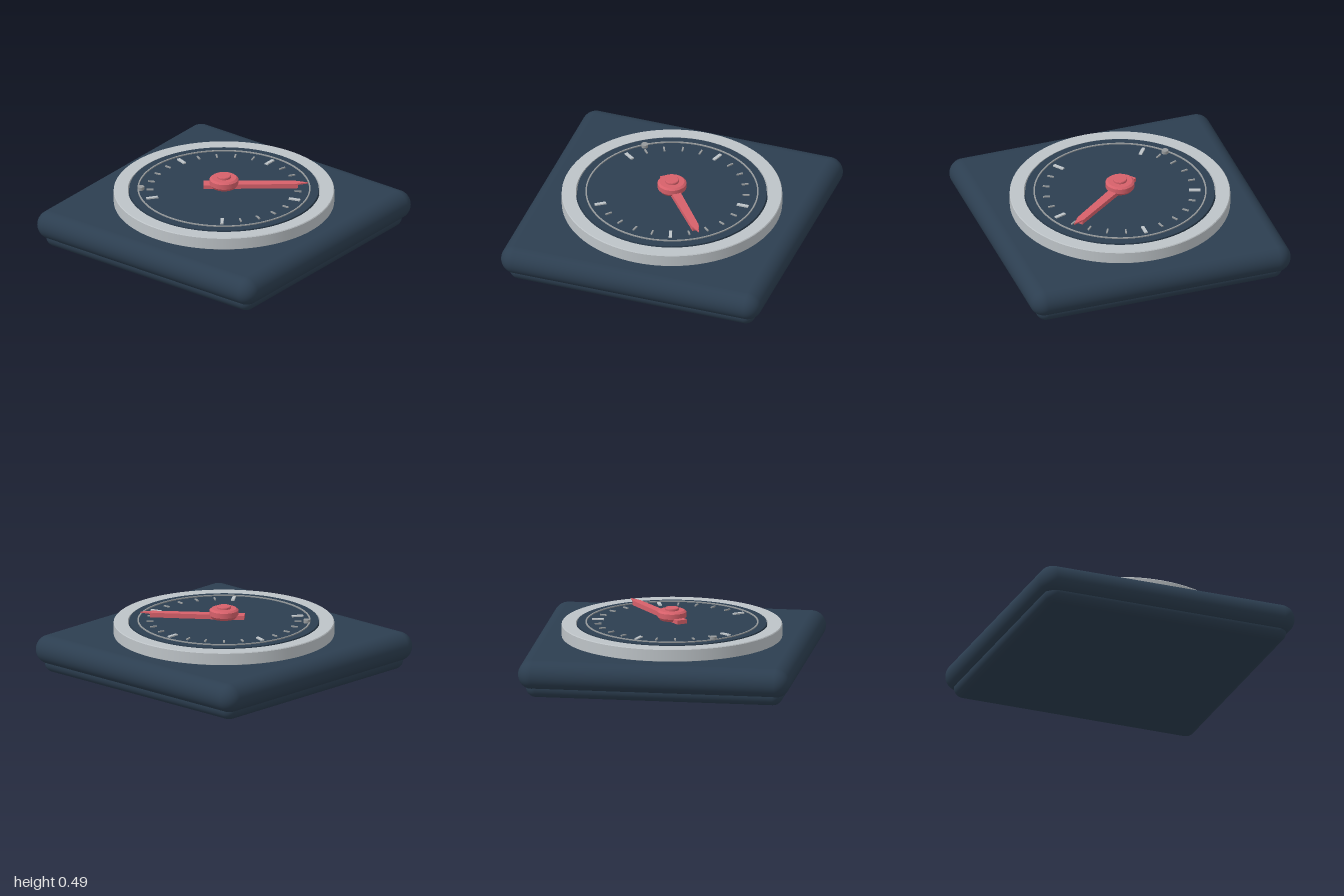
import * as THREE from 'three';
import { RoundedBoxGeometry } from 'three/addons/geometries/RoundedBoxGeometry.js';

const mat = (name, color) => {
  const m = new THREE.MeshStandardMaterial({ color });
  m.name = name;
  return m;
};

export function createModel() {
  const navy = mat('navy', 0x2c3e50);
  const silver = mat('silver', 0xbdc3c7);
  const grey = mat('grey', 0x95999b);
  const red = mat('red', 0xd6606a);

  const model = new THREE.Group();
  model.name = 'dialGauge';
  const add = (name, geometry, material, x = 0, y = 0, z = 0, parent = model) => {
    const mesh = new THREE.Mesh(geometry, material);
    mesh.name = name;
    mesh.position.set(x, y, z);
    parent.add(mesh);
    return mesh;
  };
  // Ring or disc with crisp edges: each profile segment is its own lathe band
  const turned = (name, points, material, parent = model) => {
    const group = new THREE.Group();
    group.name = name;
    for (let i = 0; i < points.length - 1; i++) {
      const pair = [points[i], points[i + 1]].map(([r, y]) => new THREE.Vector2(r, y));
      add(name + 'Face', new THREE.LatheGeometry(pair, 96), material, 0, 0, 0, group);
    }
    parent.add(group);
  };
  // Flat outline in x/z extruded upwards
  const plate = (points, height) => {
    const shape = new THREE.Shape(points.map(([x, z]) => new THREE.Vector2(x, -z)));
    return new THREE.ExtrudeGeometry(shape, { depth: height, bevelEnabled: false }).rotateX(-Math.PI / 2);
  };

  // Housing and recessed base
  add('housing', new RoundedBoxGeometry(2, 0.215, 2, 8, 0.107), navy, 0, 0.171, 0);
  add('base', new RoundedBoxGeometry(1.89, 0.15, 1.89, 8, 0.074), navy, 0, 0.075, 0);

  // Bezel and dial face
  turned('bezel', [[0.7, 0.27], [0.8, 0.27], [0.803, 0.28], [0.803, 0.365], [0.798, 0.371], [0.7, 0.371], [0.7, 0.27]], silver);
  add('dialFace', new THREE.CylinderGeometry(0.69, 0.69, 0.1, 96), navy, 0, 0.326, 0);
  turned('scaleRing', [[0.62, 0.374], [0.63, 0.374], [0.63, 0.384], [0.62, 0.384], [0.62, 0.374]], grey);

  // Scale: 21 ticks, every fifth one long
  for (let i = -10; i <= 10; i++) {
    const a = THREE.MathUtils.degToRad(i * 14.4);
    const major = i % 5 === 0;
    const r = major ? 0.545 : 0.54;
    const size = major ? [0.024, 0.012, 0.085] : [0.012, 0.01, 0.05];
    const tick = add(major ? 'majorTick' : 'minorTick', new THREE.BoxGeometry(...size),
      major ? silver : grey, Math.sin(a) * r, 0.38, -Math.cos(a) * r);
    tick.rotation.y = -a;
  }

  // Stop pin
  add('stopPin', new THREE.CylinderGeometry(0.025, 0.025, 0.03, 24), grey, -0.475, 0.386, 0.375);

  // Needle with counterweight, pointing along its local x
  const needle = new THREE.Group();
  needle.name = 'needle';
  needle.rotation.y = 0.66;
  model.add(needle);
  add('needleBar', plate([[0, 0.034], [0.54, 0.026], [0.54, -0.026], [0, -0.034]], 0.03), red, 0, 0.393, 0, needle);
  add('needleTip', plate([[0, 0.035], [0.52, 0.028], [0.61, 0], [0.52, -0.028], [0, -0.035]], 0.01), red, 0, 0.418, 0, needle);
  add('counterweight', new THREE.BoxGeometry(0.15, 0.03, 0.08), red, -0.075, 0.41, 0, needle);

  // Hub and cap
  turned('hub', [[0, 0.4], [0.09, 0.4], [0.105, 0.42], [0.105, 0.458], [0.09, 0.47], [0, 0.47]], red);
  turned('hubCap', [[0.05, 0.468], [0.05, 0.483], [0.046, 0.488], [0, 0.488]], red);

  return model;
}
